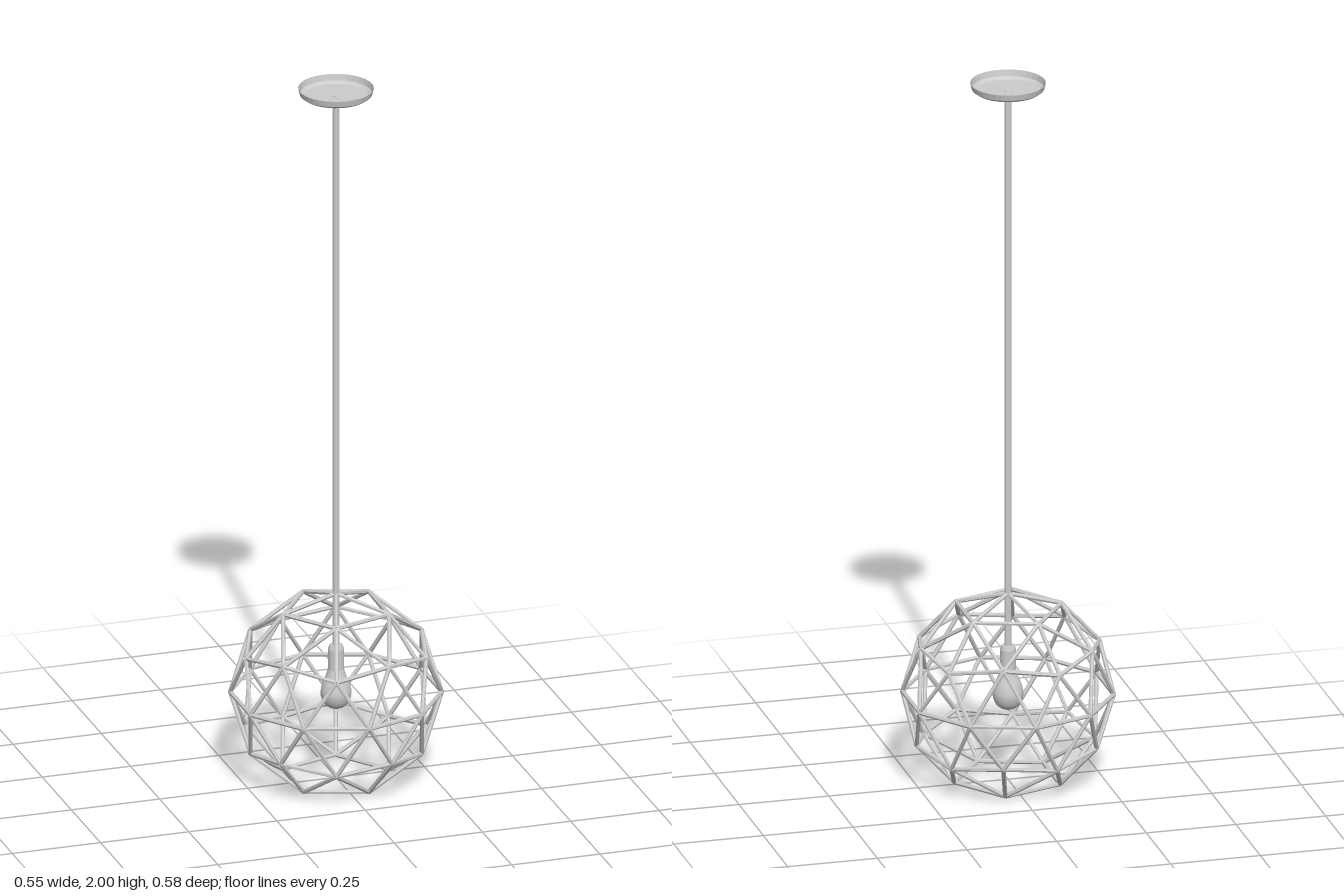
import * as THREE from 'three';

const SPHERE_RADIUS = 0.285;
const SPHERE_Y = 0.25;

const makeMaterial = (options = {}) => new THREE.MeshStandardMaterial({ color: 0xcccccc, ...options });

function lathe(name, profile, segments, options) {
  const points = profile.map(([r, y]) => new THREE.Vector2(r, y));
  const mesh = new THREE.Mesh(new THREE.LatheGeometry(points, segments), makeMaterial(options));
  mesh.name = name;
  return mesh;
}

// Ring of joints on the sphere, given as fractions of the sphere radius
function ring(count, r, y, startDegrees) {
  return Array.from({ length: count }, (_, i) => {
    const a = THREE.MathUtils.degToRad(startDegrees) + (i * 2 * Math.PI) / count;
    return new THREE.Vector3(r * Math.cos(a), y, r * Math.sin(a)).multiplyScalar(SPHERE_RADIUS);
  });
}

// Geodesic shade: a pole, then rings of joints down to an open pentagon
function createShade() {
  const shade = new THREE.Group();
  shade.name = 'geodesicShade';
  shade.position.y = SPHERE_Y;
  const joints = [
    new THREE.Vector3(0, SPHERE_RADIUS, 0),
    ...ring(5, 0.526, 0.851, 180),
    ...ring(5, 0.851, 0.526, 0),
    ...ring(5, 0.894, 0.447, 180),
    ...ring(10, 1, 0, 18),
    ...ring(5, 0.894, -0.447, 0),
    ...ring(5, 0.851, -0.526, 180),
    ...ring(5, 0.526, -0.851, 0),
  ];
  const material = makeMaterial({ flatShading: true });
  const unitStrut = new THREE.CylinderGeometry(0.006, 0.006, 1, 6);
  const up = new THREE.Vector3(0, 1, 0);

  // Join every pair of neighbouring joints
  joints.forEach((a, i) => {
    for (const b of joints.slice(i + 1)) {
      const length = a.distanceTo(b);
      if (length > 0.7 * SPHERE_RADIUS) continue;
      const strut = new THREE.Mesh(unitStrut, material);
      strut.name = 'shadeStrut';
      strut.position.lerpVectors(a, b, 0.5);
      strut.scale.y = length;
      strut.quaternion.setFromUnitVectors(up, b.clone().sub(a).normalize());
      shade.add(strut);
    }
  });
  return shade;
}

export function createModel() {
  const lamp = new THREE.Group();
  lamp.name = 'pendantLamp';

  // Shallow ceiling dish, open at the top
  lamp.add(lathe('ceilingCanopy',
    [[0, 1.976], [0.088, 1.976], [0.098, 1.983], [0.102, 2]], 32,
    { side: THREE.DoubleSide, flatShading: true }));

  // Hanging rod, its end just above the dish floor
  lamp.add(lathe('hangingRod',
    [[0, 0.375], [0.01, 0.375], [0.01, 1.978], [0, 1.982]], 8, { flatShading: true }));

  // Socket and bulb
  lamp.add(lathe('bulbSocket',
    [[0, 0.318], [0.022, 0.318], [0.022, 0.375], [0.018, 0.387], [0, 0.387]], 20,
    { flatShading: true }));
  const bulbCurve = new THREE.SplineCurve([
    [0, 0.203], [0.018, 0.207], [0.034, 0.221], [0.042, 0.247],
    [0.037, 0.274], [0.027, 0.299], [0.021, 0.322],
  ].map(([r, y]) => new THREE.Vector2(r, y)));
  const bulbProfile = bulbCurve.getPoints(24).map((p) => [Math.max(p.x, 0), p.y]);
  lamp.add(lathe('lightBulb', bulbProfile, 24));

  lamp.add(createShade());
  return lamp;
}
